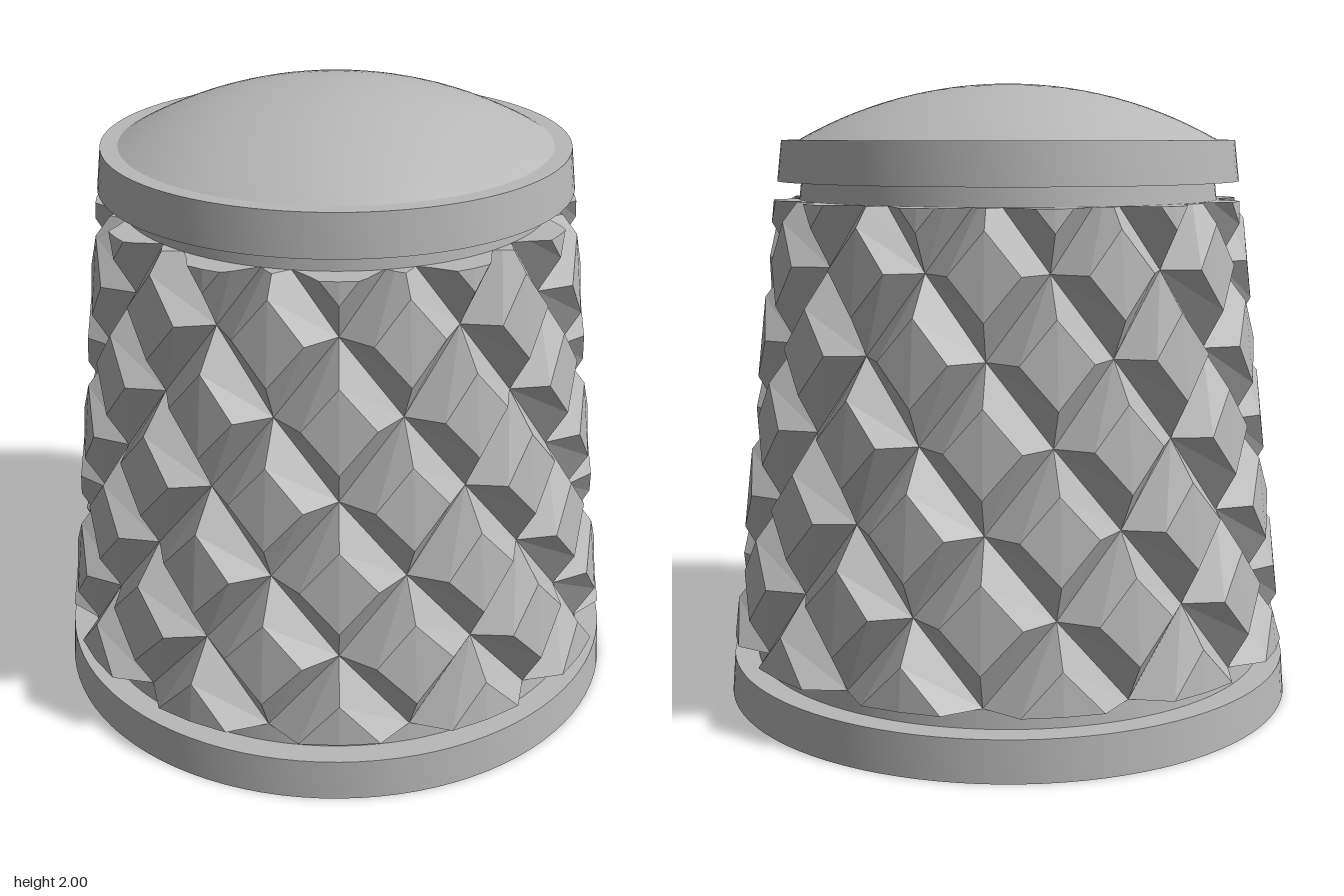
import * as THREE from 'three';
import { toCreasedNormals } from 'three/addons/utils/BufferGeometryUtils.js';

const BOTTOM = 0.19, TOP = 1.63; // extent of the knurled grip
const STEP_Y = 0.25, STEP_A = Math.PI / 12; // half diamond height and angle
const HEIGHT = 0.082, PLATEAU = 0.52;

const coreRadius = (y) => 0.84 - 0.111 * (y - BOTTOM);

// Point on the grip at an angle and height, raised off the core
function gripPoint(angle, y, raise) {
  const r = coreRadius(y) + raise;
  return new THREE.Vector3(Math.sin(angle) * r, y, Math.cos(angle) * r);
}

// Keep the part of a polygon where sign * (y - limit) >= 0, and cap the cut
function clip(polygon, limit, sign, addPolygon) {
  const kept = [], cut = [];
  polygon.forEach((a, i) => {
    const b = polygon[(i + 1) % polygon.length];
    const da = sign * (a.y - limit), db = sign * (b.y - limit);
    if (da >= -1e-6) kept.push(a);
    if ((da > 1e-6 && db < -1e-6) || (da < -1e-6 && db > 1e-6)) {
      kept.push(a.clone().lerp(b, da / (da - db)));
    }
  });
  if (kept.length < 3) return null;
  if (!polygon.some((p) => sign * (p.y - limit) < -1e-6)) return kept;
  kept.forEach((a, i) => {
    const b = kept[(i + 1) % kept.length];
    if (Math.abs(a.y - limit) < 1e-5 && Math.abs(b.y - limit) < 1e-5) cut.push([a, b]);
  });
  const inward = (p) => {
    const k = (coreRadius(limit) - 0.05) / Math.hypot(p.x, p.z);
    return new THREE.Vector3(p.x * k, p.y, p.z * k);
  };
  cut.forEach(([a, b]) => addPolygon([b, a, inward(a), inward(b)]));
  return kept;
}

// Rings of truncated diamond pyramids, trimmed flat at both ends
function knurlGeometry() {
  const positions = [];
  const addPolygon = (p) => {
    for (let i = 1; i < p.length - 1; i++) {
      for (const v of [p[0], p[i], p[i + 1]]) positions.push(v.x, v.y, v.z);
    }
  };
  const addFace = (face) => {
    const low = clip(face, BOTTOM, 1, addPolygon);
    const both = low && clip(low, TOP, -1, addPolygon);
    if (both) addPolygon(both);
  };
  const directions = [[1, 0], [0, 1], [-1, 0], [0, -1]];
  for (let row = 0; row <= 6; row++) {
    const y = BOTTOM + row * STEP_Y;
    for (let n = 0; n < 12; n++) {
      const angle = (2 * n + (row % 2)) * STEP_A;
      const ring = (scale, raise) => directions.map(([u, v]) =>
        gripPoint(angle + u * scale * STEP_A, y + v * scale * STEP_Y, raise));
      const base = ring(1, 0), top = ring(PLATEAU, HEIGHT);
      const centre = gripPoint(angle, y, HEIGHT);
      for (let i = 0; i < 4; i++) {
        const j = (i + 1) % 4;
        addFace([base[i], base[j], top[j]]);
        addFace([base[i], top[j], top[i]]);
        addFace([centre, top[i], top[j]]);
      }
    }
  }
  const geometry = new THREE.BufferGeometry();
  geometry.setAttribute('position', new THREE.Float32BufferAttribute(positions, 3));
  geometry.computeVertexNormals();
  return geometry;
}

// Turned body: blind bore, base flange, core, top rim and dome
function bodyGeometry() {
  const profile = [
    [0, 0.6], [0.58, 0.6], [0.58, 0],
    [0.935, 0], [0.925, 0.13], [coreRadius(0.13), 0.13], [coreRadius(BOTTOM), BOTTOM],
    [coreRadius(BOTTOM) - 0.04, BOTTOM], [coreRadius(TOP) - 0.04, TOP],
    [coreRadius(TOP), TOP], [coreRadius(1.69), 1.69],
    [0.75, 1.69], [0.735, 1.82],
  ];
  const rim = 0.68, rise = 0.18;
  const radius = (rim * rim + rise * rise) / (2 * rise);
  const span = Math.asin(rim / radius);
  for (let i = 0; i <= 14; i++) {
    const a = span * (1 - i / 14);
    profile.push([radius * Math.sin(a), 2 - radius + radius * Math.cos(a)]);
  }
  const points = profile.map(([x, y]) => new THREE.Vector2(x, y));
  return toCreasedNormals(new THREE.LatheGeometry(points, 96), 0.35);
}

export function createModel() {
  const model = new THREE.Group();
  model.name = 'knurledKnob';

  const grey = new THREE.MeshStandardMaterial({ color: 0xb8b8b8 });
  grey.name = 'grey';

  const body = new THREE.Mesh(bodyGeometry(), grey);
  body.name = 'body';
  const knurl = new THREE.Mesh(knurlGeometry(), grey);
  knurl.name = 'knurledGrip';

  model.add(body, knurl);
  return model;
}
